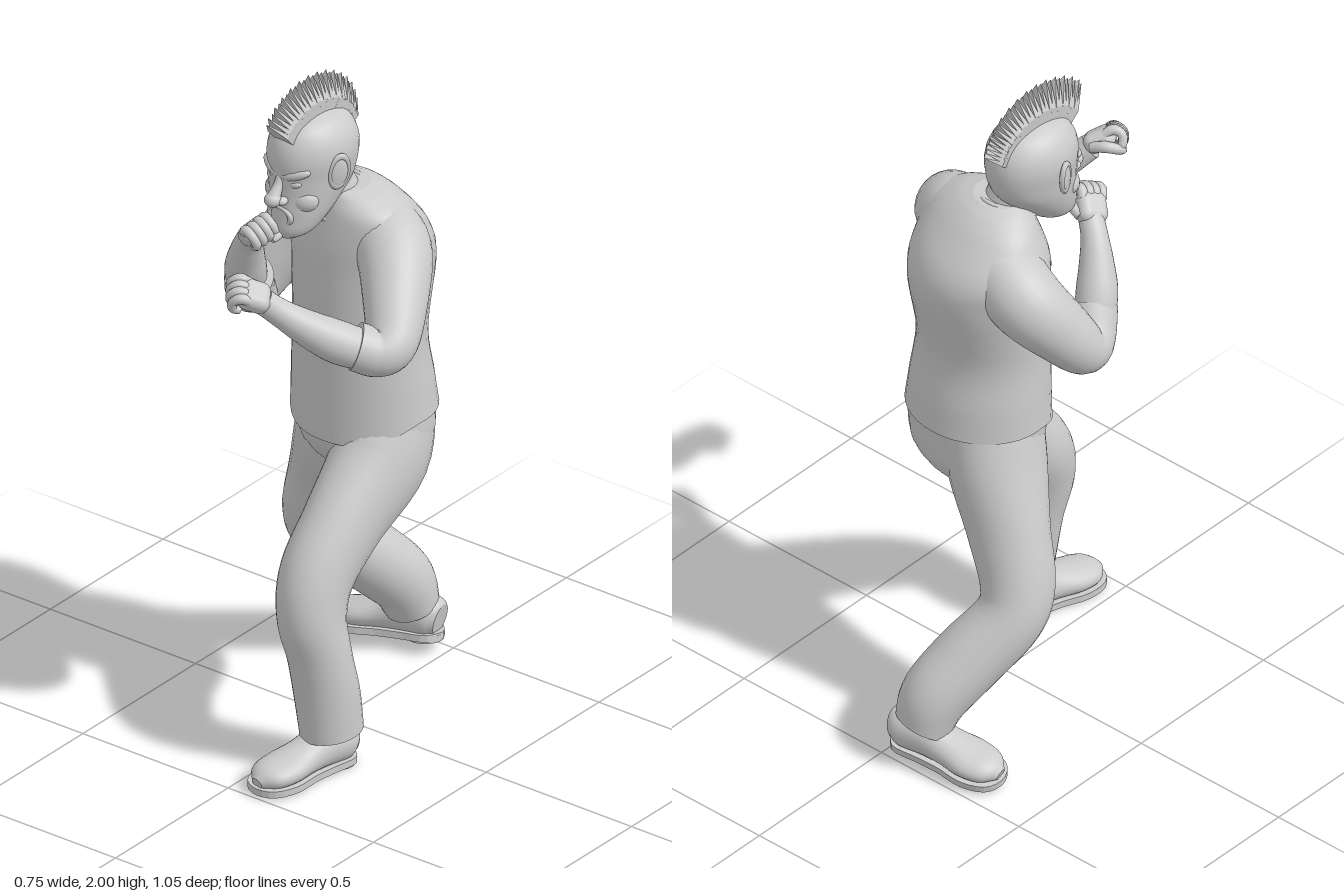
import * as THREE from 'three';
import { RoundedBoxGeometry } from 'three/addons/geometries/RoundedBoxGeometry.js';

const grey = new THREE.MeshStandardMaterial({ color: 0xcccccc });
const V = (x, y, z) => new THREE.Vector3(x, y, z);

function add(parent, name, geometry, pos = [0, 0, 0], scale = [1, 1, 1], rot = [0, 0, 0]) {
  const mesh = new THREE.Mesh(geometry, grey);
  mesh.name = name;
  mesh.position.set(...pos);
  mesh.scale.set(...scale);
  mesh.rotation.set(...rot);
  parent.add(mesh);
  return mesh;
}
const ball = (parent, name, pos, scale, rot) =>
  add(parent, name, new THREE.SphereGeometry(1, 20, 14), pos, scale, rot);

// Smooth closed skin through rows of [x, y, z, radiusA, radiusB, yaw].
// Flat skins keep horizontal rings; others follow the path.
function skin(rows, { flat = false, steps = 6, sides = 28 } = {}) {
  const path = new THREE.CatmullRomCurve3(rows.map(r => V(r[0], r[1], r[2])));
  const size = new THREE.CatmullRomCurve3(rows.map(r => V(r[3], r[4] ?? r[3], r[5] ?? 0)));
  path.curveType = size.curveType = 'catmullrom';
  const count = (rows.length - 1) * steps, pos = [], idx = [];
  const n = V(1, 0, 0);
  const ring = (c, a, b, bn) => {
    for (let j = 0; j < sides; j++) {
      const t = j / sides * Math.PI * 2;
      const p = c.clone().addScaledVector(n, a * Math.cos(t)).addScaledVector(bn, b * Math.sin(t));
      pos.push(p.x, p.y, p.z);
    }
  };
  for (let i = 0; i <= count; i++) {
    const u = i / count, c = path.getPoint(u), s = size.getPoint(u);
    const t = path.getTangent(u);
    if (flat) {
      t.set(0, Math.sign(t.y), 0);
      n.set(Math.cos(s.z), 0, Math.sin(s.z));
    } else n.addScaledVector(t, -n.dot(t)).normalize();
    const bn = t.clone().cross(n);
    if (i === 0) { ring(c, 0, 0, bn); ring(c, s.x, s.y, bn); }
    ring(c, s.x, s.y, bn);
    if (i === count) { ring(c, s.x, s.y, bn); ring(c, 0, 0, bn); }
  }
  const total = pos.length / 3 / sides;
  for (let i = 0; i < total - 1; i++) {
    if (i === 1 || i === total - 3) continue; // duplicated rings keep the ends crisp
    for (let j = 0; j < sides; j++) {
      const a = i * sides + j, b = i * sides + (j + 1) % sides;
      idx.push(a, b, a + sides, b, b + sides, a + sides);
    }
  }
  const g = new THREE.BufferGeometry();
  g.setAttribute('position', new THREE.Float32BufferAttribute(pos, 3));
  g.setIndex(idx);
  g.computeVertexNormals();
  return g;
}

// Shoe: heel at the local origin, toe towards +z
function shoe(name, pos, rot) {
  const g = new THREE.Group();
  g.name = name;
  add(g, 'upper', skin([[0, 0.06, -0.01, 0.04, 0.045], [0, 0.068, 0.02, 0.058, 0.06],
    [0, 0.072, 0.09, 0.058, 0.062], [0, 0.06, 0.16, 0.06, 0.048], [0, 0.05, 0.23, 0.07, 0.04],
    [0, 0.044, 0.29, 0.058, 0.033], [0, 0.036, 0.325, 0.02, 0.015]]));
  const s = new THREE.Shape();
  s.moveTo(0, -0.02);
  s.splineThru([[0.05, 0.01], [0.055, 0.09], [0.06, 0.16], [0.074, 0.24], [0.055, 0.31], [0, 0.335],
    [-0.055, 0.31], [-0.074, 0.24], [-0.06, 0.16], [-0.055, 0.09], [-0.05, 0.01], [0, -0.02]]
    .map(p => new THREE.Vector2(...p)));
  const sole = new THREE.ExtrudeGeometry(s, { depth: 0.02, bevelEnabled: false, curveSegments: 3 });
  add(g, 'sole', sole, [0, 0.026, 0], [1, 1, 1], [Math.PI / 2, 0, 0]);
  add(g, 'heel', new THREE.CylinderGeometry(0.052, 0.05, 0.02, 24), [0, 0.01, 0.035]);
  g.position.set(...pos);
  g.rotation.set(...rot, 'YXZ');
  return g;
}

// Clenched hand: wrist behind, knuckles towards the target
function fist(name, pos, target, roll, side) {
  const g = new THREE.Group();
  g.name = name;
  add(g, 'palm', new RoundedBoxGeometry(0.09, 0.06, 0.09, 4, 0.026));
  for (let i = 0; i < 4; i++) {
    const x = (i - 1.5) * 0.022, k = i === 3 ? 0.9 : 1;
    add(g, 'finger', skin([[x, 0.012, 0.02, 0.013], [x, 0.014, 0.05 * k, 0.015], [x, -0.01, 0.066 * k, 0.013],
      [x, -0.036, 0.052 * k, 0.013], [x, -0.036, 0.025, 0.011]], { steps: 4, sides: 10 }));
  }
  add(g, 'thumb', skin([[side * 0.035, -0.005, -0.025, 0.016], [side * 0.052, -0.02, 0.015, 0.016],
    [side * 0.035, -0.045, 0.045, 0.014], [side * 0.01, -0.05, 0.05, 0.009]], { steps: 4, sides: 10 }));
  g.position.set(...pos);
  g.lookAt(...target);
  g.rotateZ(roll);
  return g;
}

function head() {
  const g = new THREE.Group();
  g.name = 'head';
  add(g, 'skull', skin([[0, 1.535, 0.09, 0.025, 0.025], [0, 1.56, 0.075, 0.06, 0.065], [0, 1.61, 0.045, 0.084, 0.095],
    [0, 1.67, 0.012, 0.1, 0.125], [0, 1.72, 0, 0.107, 0.138], [0, 1.78, -0.002, 0.113, 0.142],
    [0, 1.83, -0.002, 0.102, 0.128], [0, 1.87, 0, 0.072, 0.092], [0, 1.892, 0, 0.02, 0.025]], { flat: true }));
  // Nose
  add(g, 'noseBridge', skin([[0, 1.74, 0.12, 0.014], [0, 1.705, 0.139, 0.014], [0, 1.675, 0.158, 0.02]]));
  ball(g, 'noseTip', [0, 1.67, 0.16], [0.024, 0.021, 0.025]);
  // Open grinning mouth
  add(g, 'lips', new THREE.TorusGeometry(0.036, 0.008, 10, 28), [0, 1.612, 0.13], [1.05, 0.75, 1], [0.15, 0, 0]);
  for (const y of [1.627, 1.597]) for (let i = -2; i <= 2; i++)
    add(g, 'tooth', new RoundedBoxGeometry(0.011, 0.014, 0.01, 2, 0.003), [i * 0.012, y, 0.134 - i * i * 0.002]);
  ball(g, 'chin', [0, 1.56, 0.11], [0.036, 0.026, 0.026]);
  // Paired face features
  for (const s of [-1, 1]) {
    ball(g, 'nostril', [s * 0.02, 1.666, 0.143], [0.014, 0.012, 0.018]);
    ball(g, 'cheek', [s * 0.05, 1.66, 0.088], [0.042, 0.036, 0.032], [0, s * 0.5, 0]);
    ball(g, 'eye', [s * 0.042, 1.715, 0.117], [0.021, 0.011, 0.012], [0, s * 0.3, s * 0.2]);
    ball(g, 'brow', [s * 0.042, 1.744, 0.115], [0.046, 0.016, 0.018], [0, s * 0.4, s * 0.3]);
    const ear = new THREE.Group();
    ear.name = 'ear';
    ball(ear, 'earShell', [0, 0, 0], [0.01, 0.05, 0.03]);
    add(ear, 'earRim', new THREE.TorusGeometry(0.036, 0.008, 8, 24), [0, 0.008, 0], [0.75, 1.25, 1], [0, Math.PI / 2, 0]);
    ear.position.set(s * 0.113, 1.735, 0.018);
    ear.rotation.set(-0.15, s * -0.45, s * -0.1);
    g.add(ear);
  }
  // Fan of pointed hair plates, shorter towards the nape
  const plate = new THREE.Shape([[-0.034, 0], [0.034, 0], [0.036, 0.055], [0, 0.128], [-0.036, 0.055]]
    .map(p => new THREE.Vector2(...p)));
  const count = 28;
  for (let i = 0; i < count; i++) {
    const geo = new THREE.ExtrudeGeometry(plate, { depth: 0.024, bevelEnabled: false });
    geo.translate(0, 0, -0.012);
    const p = geo.attributes.position;
    for (let k = 0; k < p.count; k++) p.setZ(k, p.getZ(k) * (1 - p.getY(k) / 0.135));
    geo.computeVertexNormals();
    const t = i / (count - 1), a = THREE.MathUtils.lerp(0.95, -1.2, t);
    const len = 0.92 + 0.3 * t - 0.67 * t * t + (i % 2) * 0.05;
    add(g, 'hairPlate', geo, [0, 1.775 + 0.098 * Math.cos(a), 0.122 * Math.sin(a)],
      [1, len, 1], [a * 0.87, 0, 0]);
  }
  g.position.set(-0.065, 0, 0.042);
  g.rotation.y = -0.08;
  return g;
}

export function createModel() {
  const g = new THREE.Group();
  g.name = 'fighter';

  // Shirt body, twisted so the left shoulder leads; the hem dips at the front
  const shirt = skin([[0.012, 0.962, -0.09, 0.212, 0.187, 0], [0.01, 1.05, -0.085, 0.206, 0.182, 0.05],
    [0.008, 1.2, -0.075, 0.198, 0.172, 0.12], [0.004, 1.4, -0.097, 0.208, 0.189, 0.2],
    [0.0, 1.5, -0.092, 0.215, 0.174, 0.28], [0.01, 1.59, -0.065, 0.185, 0.125, 0.3],
    [0.0, 1.635, -0.05, 0.125, 0.092, 0.3], [-0.015, 1.655, -0.035, 0.075, 0.07, 0.3]], { flat: true, sides: 40 });
  const sp = shirt.attributes.position;
  for (let i = 0; i < sp.count; i++) {
    const low = THREE.MathUtils.clamp((1.1 - sp.getY(i)) / 0.138, 0, 1);
    sp.setY(i, sp.getY(i) - 0.055 * low * THREE.MathUtils.smoothstep(sp.getZ(i), -0.08, 0.1));
  }
  shirt.computeVertexNormals();
  add(g, 'shirt', shirt);
  add(g, 'neck', skin([[0, 1.52, -0.05, 0.075], [-0.03, 1.62, -0.01, 0.073], [-0.06, 1.7, 0.025, 0.078]]));
  add(g, 'collar', new THREE.TorusGeometry(0.08, 0.008, 8, 36), [-0.024, 1.612, -0.012], [1, 1.05, 1], [Math.PI / 2 + 0.5, 0, 0]);

  // Sleeves
  add(g, 'leftSleeve', skin([[0.06, 1.53, -0.07, 0.105], [0.165, 1.5, -0.02, 0.106], [0.25, 1.415, 0.08, 0.09],
    [0.302, 1.342, 0.165, 0.074], [0.288, 1.325, 0.212, 0.069], [0.245, 1.345, 0.25, 0.068]]));
  add(g, 'rightSleeve', skin([[-0.09, 1.5, -0.12, 0.105], [-0.2, 1.435, -0.135, 0.105], [-0.27, 1.33, -0.07, 0.089],
    [-0.297, 1.255, -0.01, 0.074], [-0.28, 1.262, 0.04, 0.07], [-0.25, 1.325, 0.085, 0.068]]));

  // Forearms and fists
  add(g, 'leftForearm', skin([[0.275, 1.325, 0.225, 0.055], [0.212, 1.365, 0.29, 0.06], [0.155, 1.415, 0.35, 0.05],
    [0.105, 1.465, 0.4, 0.039], [0.07, 1.505, 0.435, 0.036]]));
  add(g, 'rightForearm', skin([[-0.275, 1.28, 0.06, 0.055], [-0.25, 1.36, 0.1, 0.058], [-0.222, 1.43, 0.13, 0.048],
    [-0.192, 1.49, 0.155, 0.038], [-0.155, 1.53, 0.18, 0.035]]));
  g.add(fist('leftFist', [0.055, 1.525, 0.455], [-0.01, 1.57, 0.53], -0.5, -1));
  g.add(fist('rightFist', [-0.148, 1.545, 0.19], [-0.085, 1.605, 0.24], 0.5, 1));

  // Trousers: the thighs overlap into one seat
  add(g, 'trouserSeat', skin([[0.012, 0.985, -0.09, 0.2, 0.174], [0.016, 0.9, -0.09, 0.2, 0.174],
    [0.01, 0.84, -0.1, 0.18, 0.16], [-0.01, 0.795, -0.11, 0.11, 0.125], [-0.02, 0.77, -0.11, 0.04, 0.06]], { flat: true }));
  add(g, 'leftTrouserLeg', skin([[0.07, 0.95, -0.1, 0.14, 0.15], [0.1, 0.83, -0.04, 0.127, 0.155],
    [0.1, 0.7, 0.115, 0.106, 0.125], [0.094, 0.58, 0.225, 0.1, 0.112], [0.105, 0.47, 0.265, 0.094, 0.1],
    [0.125, 0.35, 0.256, 0.092, 0.086], [0.138, 0.23, 0.24, 0.092, 0.09], [0.148, 0.115, 0.232, 0.086, 0.092]]));
  add(g, 'rightTrouserLeg', skin([[-0.05, 0.95, -0.105, 0.13, 0.15], [-0.09, 0.81, -0.125, 0.13, 0.145],
    [-0.158, 0.65, -0.158, 0.118, 0.113], [-0.215, 0.51, -0.185, 0.103, 0.105], [-0.222, 0.42, -0.23, 0.096, 0.1],
    [-0.165, 0.31, -0.33, 0.1, 0.1], [-0.122, 0.215, -0.415, 0.095, 0.095], [-0.105, 0.125, -0.45, 0.085, 0.075]]));

  // Shoes
  g.add(shoe('leftShoe', [0.15, 0, 0.165], [0, -0.2, 0]));
  g.add(shoe('rightShoe', [-0.025, 0.035, -0.46], [0.08, -1.38, 0.12]));

  g.add(head());
  return g;
}
